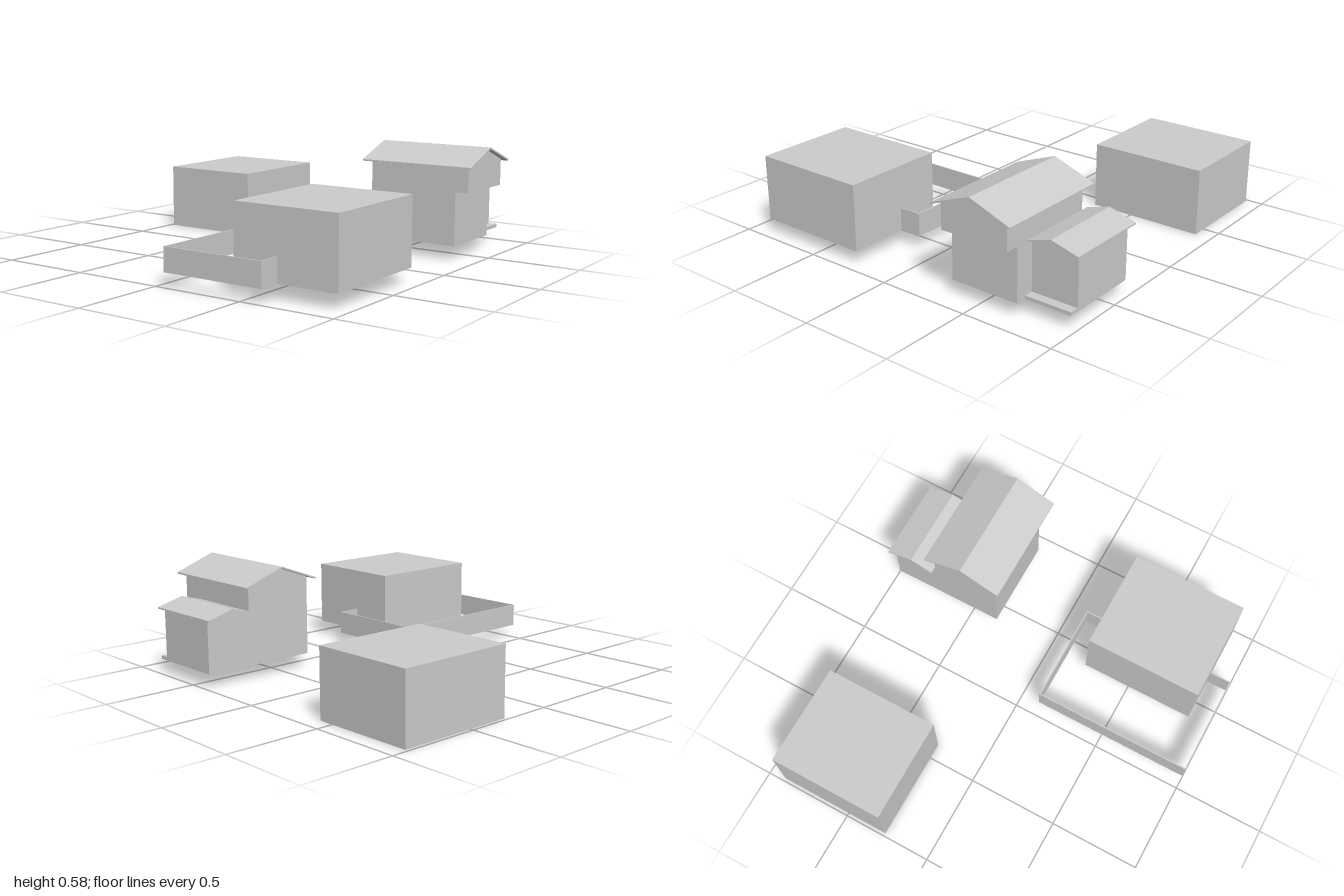
import * as THREE from 'three';

const material = new THREE.MeshStandardMaterial({ color: 0xcccccc, flatShading: true, side: THREE.DoubleSide });

function addMesh(group, name, geometry) {
  const mesh = new THREE.Mesh(geometry, material);
  mesh.name = name;
  group.add(mesh);
  return mesh;
}

// Box given by its limits on each axis
function addBox(group, name, [x0, x1], [y0, y1], [z0, z1]) {
  const mesh = addMesh(group, name, new THREE.BoxGeometry(x1 - x0, y1 - y0, z1 - z0));
  mesh.position.set((x0 + x1) / 2, (y0 + y1) / 2, (z0 + z1) / 2);
}

// Outline in x and y, extruded from z0 to z1
function addPrism(group, name, points, [z0, z1]) {
  const shape = new THREE.Shape(points.map(([x, y]) => new THREE.Vector2(x, y)));
  const geometry = new THREE.ExtrudeGeometry(shape, { depth: z1 - z0, bevelEnabled: false });
  addMesh(group, name, geometry).position.z = z0;
}

// Thin folded roof: left eave, ridge, right eave along its top surface
function addRoof(group, name, [left, ridge, right], zRange, thickness) {
  const under = [right, ridge, left].map(([x, y]) => [x, y - thickness]);
  addPrism(group, name, [left, ridge, right, ...under], zRange);
}

export function createModel() {
  const model = new THREE.Group();
  model.name = 'buildings';

  // Plain block buildings
  addBox(model, 'rearBuilding', [0.268, 0.909], [0, 0.36], [-0.983, -0.415]);
  addBox(model, 'yardBuilding', [-0.88, -0.237], [0.075, 0.43], [0.376, 0.946]);

  // Low wall around the yard, meeting the building on both sides
  const yard = new THREE.Group();
  yard.name = 'yardWall';
  model.add(yard);
  const t = 0.007, height = [0.075, 0.2];
  addBox(yard, 'wallBack', [-1, -0.112], height, [0.054, 0.054 + t]);
  addBox(yard, 'wallRight', [-1, -1 + t], height, [0.054, 0.622]);
  addBox(yard, 'wallLeft', [-0.112 - t, -0.112], height, [0.054, 0.622]);
  addBox(yard, 'wallFrontRight', [-1, -0.88], height, [0.622 - t, 0.622]);
  addBox(yard, 'wallFrontLeft', [-0.237, -0.112], height, [0.622 - t, 0.622]);

  // House with an overhanging gabled upper floor
  const house = new THREE.Group();
  house.name = 'house';
  model.add(house);
  addBox(house, 'groundFloor', [0.337, 0.722], [0.075, 0.36], [0.38, 0.88]);
  addPrism(house, 'upperFloor',
    [[0.337, 0.36], [0.722, 0.36], [0.722, 0.501], [0.53, 0.572], [0.337, 0.501]], [0.38, 0.952]);
  addRoof(house, 'mainRoof', [[0.303, 0.498], [0.53, 0.582], [0.759, 0.498]], [0.34, 0.981], 0.009);

  // Side wing with its own roof and a front step
  addPrism(house, 'wing',
    [[0.722, 0.075], [0.979, 0.075], [0.979, 0.36], [0.85, 0.395], [0.722, 0.36]], [0.38, 0.772]);
  addRoof(house, 'wingRoof', [[0.722, 0.366], [0.85, 0.403], [0.999, 0.363]], [0.34, 0.805], 0.008);
  addBox(house, 'frontStep', [0.722, 0.979], [0.075, 0.093], [0.772, 0.822]);

  return model;
}
